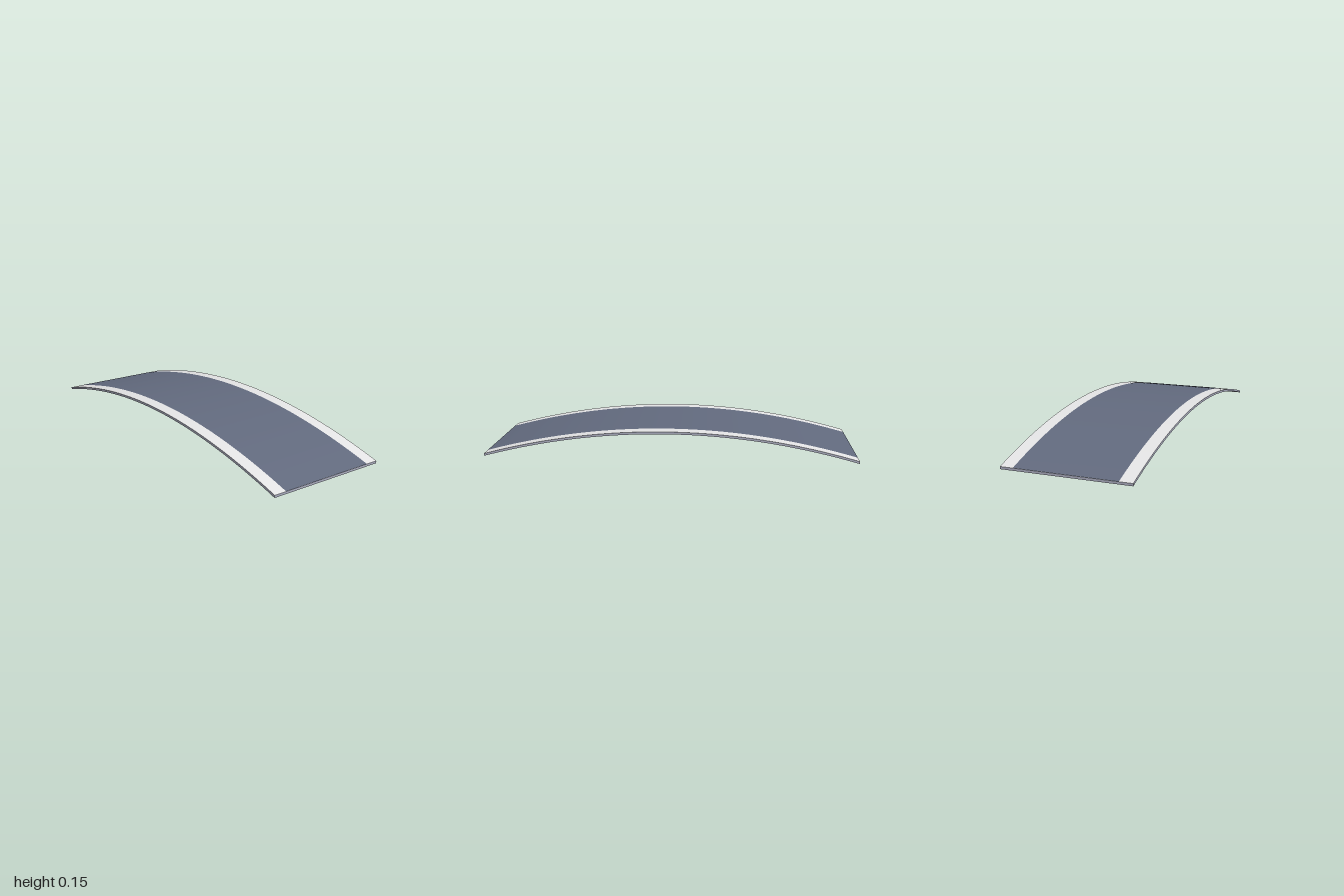
import * as THREE from 'three';

const WIDTH = 0.667, ROAD_WIDTH = 0.531, LENGTH = 2, THICK = 0.013, RISE = 0.14, SEGMENTS = 48;

// Lift every vertex along a shallow arch that touches the ground at both ends
function arch(geometry) {
  const p = geometry.attributes.position;
  for (let i = 0; i < p.count; i++) {
    const z = p.getZ(i);
    p.setY(i, p.getY(i) + RISE * (1 - z * z));
  }
  geometry.computeVertexNormals();
  return geometry;
}

export function createModel() {
  const material = (name, color) => {
    const m = new THREE.MeshStandardMaterial({ color });
    m.name = name;
    return m;
  };
  const edging = material('edging', 0xa8aabc);
  const underside = material('underside', 0xbdbbc6);
  const paving = material('paving', 0xe4e4e5);
  const asphalt = material('asphalt', 0x626a7e);

  const group = new THREE.Group();
  group.name = 'archedBridge';

  // Curved slab: pale paving on top, edging on the sides and ends, plain underside
  const slabGeometry = new THREE.BoxGeometry(WIDTH, THICK, LENGTH, 1, 1, SEGMENTS);
  slabGeometry.translate(0, THICK / 2, 0);
  const slab = new THREE.Mesh(arch(slabGeometry),
    [edging, edging, paving, underside, edging, edging]);
  slab.name = 'slab';
  group.add(slab);

  // Road surface between the two pale edges
  const roadGeometry = new THREE.PlaneGeometry(ROAD_WIDTH, LENGTH, 1, SEGMENTS);
  roadGeometry.rotateX(-Math.PI / 2).translate(0, THICK + 0.0005, 0);
  const road = new THREE.Mesh(arch(roadGeometry), asphalt);
  road.name = 'road';
  group.add(road);

  return group;
}
